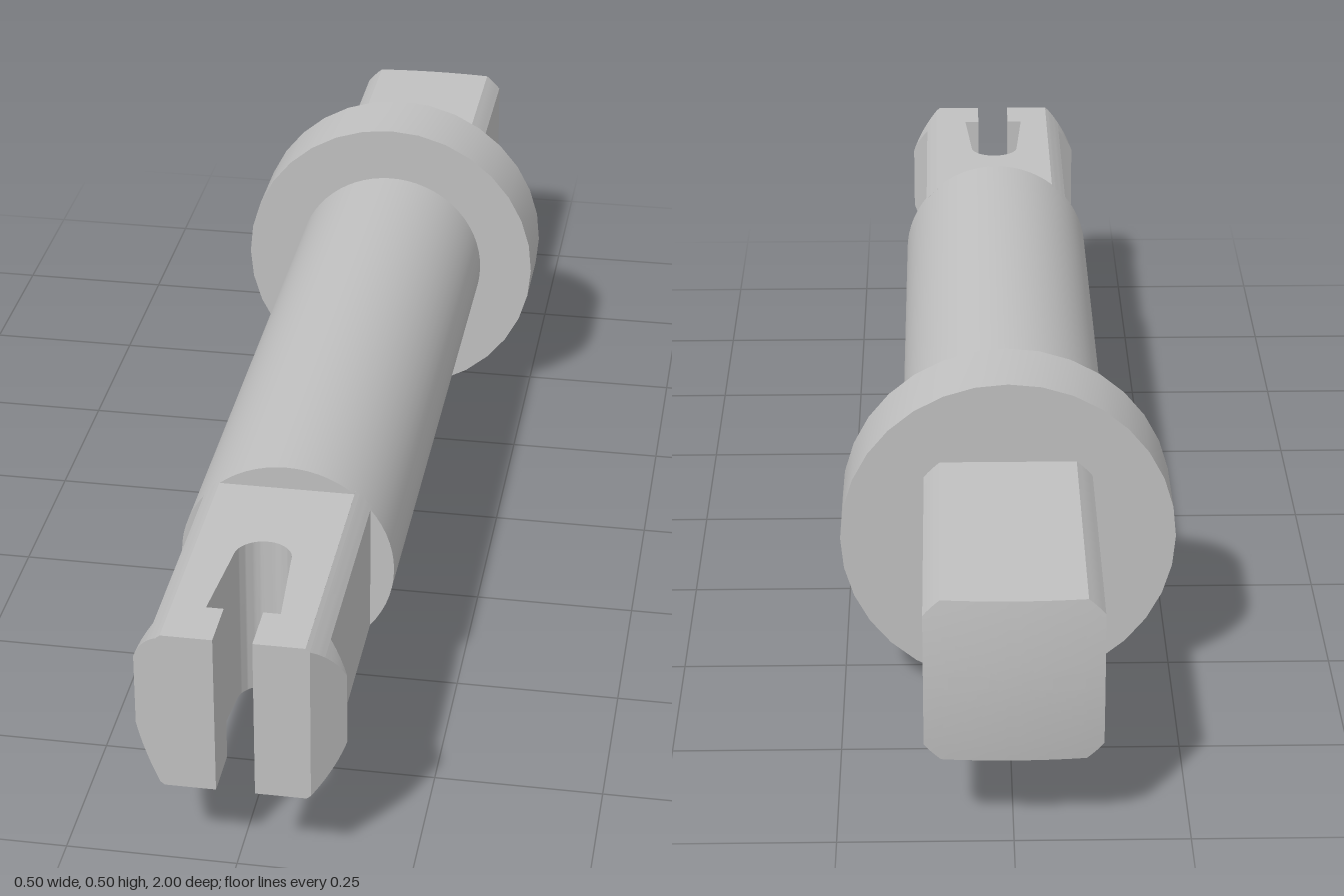
import * as THREE from 'three';
import { toCreasedNormals } from 'three/addons/utils/BufferGeometryUtils.js';

const R = 0.162;       // shaft radius, also rounds the corners of the square ends
const H = 0.126;       // half width of the square ends
const X0 = 0.102;      // where the square's flats meet the rounding
const AXIS = 0.253;    // height of the axis

export function createModel() {
  const model = new THREE.Group();
  const body = new THREE.Group();
  body.name = 'pin';
  body.position.y = AXIS;
  model.add(body);
  const grey = new THREE.MeshStandardMaterial({ color: 0xc0c0c0 });
  grey.name = 'grey';

  const add = (name, geo, crease = 0.35) => {
    const mesh = new THREE.Mesh(toCreasedNormals(geo, crease), grey);
    mesh.name = name;
    body.add(mesh);
  };

  // round shaft and flange along z
  const disc = (r, z0, z1, n) =>
    new THREE.CylinderGeometry(r, r, z1 - z0, n).rotateX(Math.PI / 2).translate(0, 0, (z0 + z1) / 2);
  add('shaft', disc(R, -0.5, 0.585, 64));
  add('flange', disc(AXIS - 0.0005, -0.56, -0.43, 32));

  // square rear end with rounded corners and a shallow domed face
  const profile = [0, 0.25, 0.5, 0.75, 0.9, 1].map(t => new THREE.Vector2(t, -1));
  profile.push(new THREE.Vector2(1, -0.55));
  const rear = new THREE.LatheGeometry(profile, 120).rotateX(Math.PI / 2);
  const p = rear.attributes.position;
  for (let i = 0; i < p.count; i++) {
    const x = p.getX(i), y = p.getY(i), len = Math.hypot(x, y);
    const side = Math.max(Math.abs(x), Math.abs(y));
    const k = len > 1e-6 ? Math.min(R, H * len / side) : 0;
    const r = k * len;
    const z = p.getZ(i) < -0.9 ? -1 + 0.5 * r * r : p.getZ(i);
    p.setXYZ(i, x * k, y * k, z);
  }
  add('rearSquare', rear);

  // forked front end: slotted core
  const s = new THREE.Shape();
  s.moveTo(-X0, 0.575);
  s.lineTo(X0, 0.575);
  s.lineTo(X0, 1);
  s.lineTo(0.028, 1);
  s.lineTo(0.028, 0.92);
  s.lineTo(0.053, 0.92);
  s.lineTo(0.042, 0.778);
  s.absarc(0, 0.778, 0.042, 0, -Math.PI, true);
  s.lineTo(-0.053, 0.92);
  s.lineTo(-0.028, 0.92);
  s.lineTo(-0.028, 1);
  s.lineTo(-X0, 1);
  s.closePath();
  const core = new THREE.ExtrudeGeometry(s, { depth: 2 * H, bevelEnabled: false, curveSegments: 20 });
  add('forkCore', core.rotateX(Math.PI / 2).translate(0, H, 0));

  // side slices of the fork, bounded by the shaft's circle
  const slice = (name, xa, xb, back, front) => {
    const a = Math.acos(xa / R), b = Math.acos(xb / R), pts = [];
    for (let i = 0; i <= 4; i++) {
      const t = a + (b - a) * i / 4;
      pts.push(new THREE.Vector2(R * Math.cos(t), -R * Math.sin(t)));
    }
    for (let i = 4; i >= 0; i--) pts.push(new THREE.Vector2(pts[i].x, -pts[i].y));
    const geo = new THREE.ExtrudeGeometry(new THREE.Shape(pts), { depth: 1, bevelEnabled: false });
    const q = geo.attributes.position;
    for (let i = 0; i < q.count; i++) {
      const x = q.getX(i);
      q.setZ(i, q.getZ(i) < 0.5 ? back(x) : front(x));
    }
    add('left' + name, geo.clone());
    add('right' + name, geo.rotateZ(Math.PI));
  };
  const bevel = x => 1 - (x - 0.108) * 1.05;
  slice('ForkEdge', X0, 0.108, () => 0.575, () => 1);
  slice('ForkSide', 0.108, H, () => 0.575, bevel);
  slice('Barb', H, 0.152, x => 0.935 + (x - H) * 0.7, bevel);

  return model;
}
